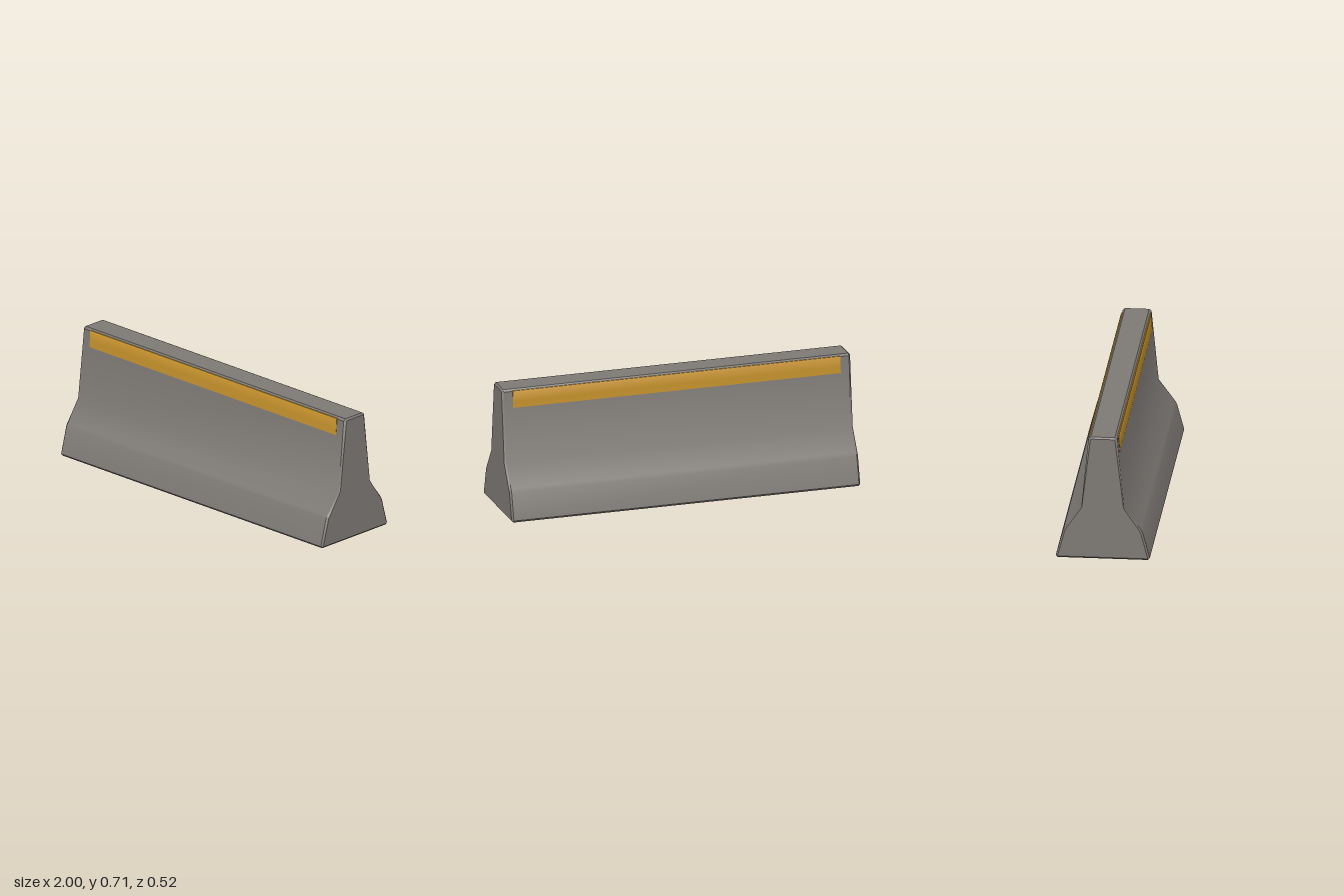
import * as THREE from 'three';
import { toCreasedNormals } from 'three/addons/utils/BufferGeometryUtils.js';

// Skins closed loops of [z, y] points placed along x. Each loop climbs its +z side,
// then descends its -z side, so point i pairs with point n-1-i for the end caps.
function loft(sections) {
  const positions = [];
  const n = sections[0].loop.length;
  const point = (s, i) => [s.x, s.loop[i % n][1], s.loop[i % n][0]];
  const quad = (a, b, c, d) => positions.push(...a, ...b, ...c, ...a, ...c, ...d);
  for (let k = 0; k < sections.length - 1; k++) {
    const a = sections[k], b = sections[k + 1];
    for (let i = 0; i < n; i++) quad(point(a, i), point(b, i), point(b, i + 1), point(a, i + 1));
  }
  const first = sections[0], last = sections[sections.length - 1];
  for (let i = 0; i < n / 2 - 1; i++) {
    const j = n - 1 - i;
    quad(point(last, i), point(last, j), point(last, j - 1), point(last, i + 1));
    quad(point(first, i), point(first, i + 1), point(first, j - 1), point(first, j));
  }
  const geometry = new THREE.BufferGeometry();
  geometry.setAttribute('position', new THREE.Float32BufferAttribute(positions, 3));
  return toCreasedNormals(geometry, 0.65);
}

const mirrored = half => [...half, ...half.slice().reverse().map(([z, y]) => [-z, y])];

export function createModel() {
  const concrete = new THREE.MeshStandardMaterial({ color: 0x7d7975 });
  concrete.name = 'concrete grey';
  const amber = new THREE.MeshStandardMaterial({ color: 0xc4912c });
  amber.name = 'amber';

  const group = new THREE.Group();
  group.name = 'roadBarrier';

  // Flared barrier body, chamfered towards its ends
  const full = mirrored([[0.248, 0], [0.258, 0.012], [0.218, 0.16], [0.206, 0.18],
    [0.118, 0.297], [0.079, 0.697], [0.066, 0.708]]);
  const end = mirrored([[0.246, 0.01], [0.247, 0.013], [0.207, 0.163], [0.2, 0.174],
    [0.115, 0.298], [0.067, 0.695], [0.064, 0.699]]);
  const body = new THREE.Mesh(loft([
    { x: -1, loop: end }, { x: -0.99, loop: full }, { x: 0.99, loop: full }, { x: 1, loop: end },
  ]), concrete);
  body.name = 'barrierBody';
  group.add(body);

  // Warning strips along the upper edge of both long sides
  const strip = [[0.089, 0.605], [0.0858, 0.64], [0.084, 0.695], [0.081, 0.7],
    [0.074, 0.7], [0.076, 0.695], [0.079, 0.64], [0.082, 0.605]];
  const stripGeometry = loft([{ x: -0.94, loop: strip }, { x: 0.94, loop: strip }]);
  for (const [name, angle] of [['frontStrip', 0], ['backStrip', Math.PI]]) {
    const mesh = new THREE.Mesh(stripGeometry, amber);
    mesh.name = name;
    mesh.rotation.y = angle;
    group.add(mesh);
  }
  return group;
}
